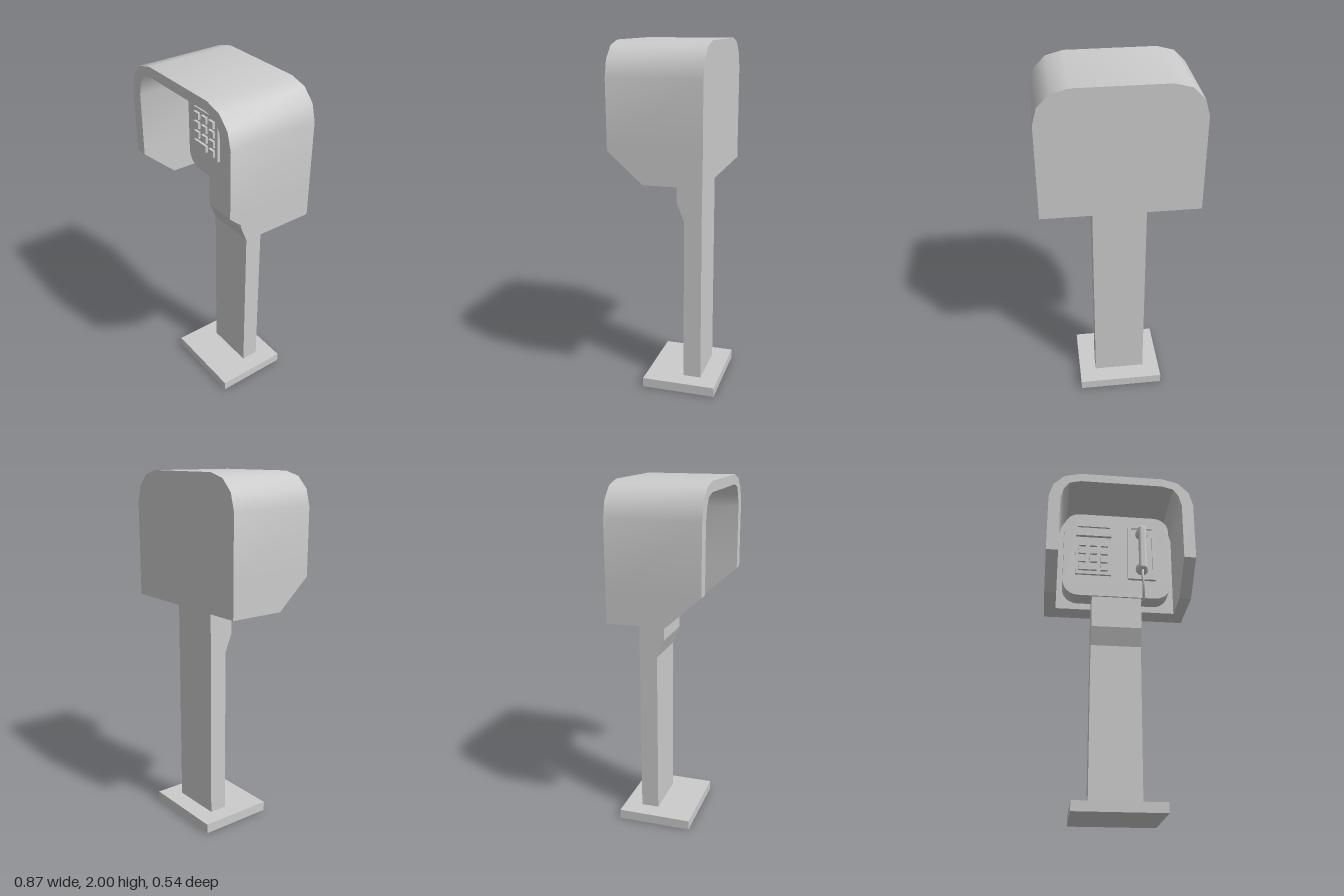
import * as THREE from 'three';
import { toCreasedNormals } from 'three/addons/utils/BufferGeometryUtils.js';
import { RoundedBoxGeometry } from 'three/addons/geometries/RoundedBoxGeometry.js';

const grey = new THREE.MeshStandardMaterial({ color: 0xcccccc });
const PANEL_Z = -0.01; // front face of the instrument panel

function add(parent, name, geometry, x = 0, y = 0, z = 0) {
  const mesh = new THREE.Mesh(geometry, grey);
  mesh.name = name;
  mesh.position.set(x, y, z);
  parent.add(mesh);
  return mesh;
}

// Box given by its limits
function block(parent, name, x0, x1, y0, y1, z0, z1) {
  return add(parent, name, new THREE.BoxGeometry(x1 - x0, y1 - y0, z1 - z0),
    (x0 + x1) / 2, (y0 + y1) / 2, (z0 + z1) / 2);
}

// Rectangular surround with a rectangular hole
function frame(parent, name, x0, x1, y0, y1, z0, z1, rim) {
  const rect = (C, m) => {
    const p = new C();
    p.moveTo(x0 + m, y0 + m);
    p.lineTo(x1 - m, y0 + m);
    p.lineTo(x1 - m, y1 - m);
    p.lineTo(x0 + m, y1 - m);
    p.closePath();
    return p;
  };
  const shape = rect(THREE.Shape, 0);
  shape.holes.push(rect(THREE.Path, rim));
  return add(parent, name,
    new THREE.ExtrudeGeometry(shape, { depth: z1 - z0, bevelEnabled: false }), 0, 0, z0);
}

// Half outline of the hood: outer x, y, inner x, y, front z
const HALF = [
  [0.435, 1.28, 0.365, 1.28, 0.08],
  [0.435, 1.45, 0.365, 1.45, 0.27],
  [0.435, 1.82, 0.365, 1.81, 0.27],
  [0.41, 1.91, 0.347, 1.88, 0.27],
  [0.345, 1.975, 0.315, 1.928, 0.27],
  [0.25, 2.0, 0.245, 1.945, 0.27],
];

// Arched shell swept through four-cornered stations
function hoodShell() {
  const stations = [...HALF, ...HALF.map(([a, b, c, d, z]) => [-a, b, -c, d, z]).reverse()];
  const pos = [], index = [];
  for (const [ox, oy, ix, iy, z] of stations) {
    pos.push(ox, oy, z, ix, iy, z, ix, iy, -0.24, ox, oy, -0.24);
  }
  for (let s = 0; s < stations.length - 1; s++) {
    for (let k = 0; k < 4; k++) {
      const a = s * 4 + k, b = s * 4 + (k + 1) % 4;
      index.push(a, a + 4, b, b, a + 4, b + 4);
    }
  }
  const e = (stations.length - 1) * 4;
  index.push(0, 1, 2, 0, 2, 3, e, e + 2, e + 1, e, e + 3, e + 2);
  const g = new THREE.BufferGeometry();
  g.setAttribute('position', new THREE.Float32BufferAttribute(pos, 3));
  g.setIndex(index);
  return toCreasedNormals(g, 0.7);
}

function buildHood(root) {
  const hood = new THREE.Group();
  hood.name = 'hood';
  root.add(hood);
  add(hood, 'hoodShell', hoodShell());

  // Back wall fills the arch
  const pts = HALF.map(h => new THREE.Vector2(h[2], h[3]));
  const outline = [...pts, ...pts.map(p => new THREE.Vector2(-p.x, p.y)).reverse()];
  add(hood, 'backWall', new THREE.ExtrudeGeometry(new THREE.Shape(outline),
    { depth: 0.12, bevelEnabled: false }), 0, 0, -0.24);

  // Raised instrument panel with rounded corners
  const w = 0.33, b = 1.32, t = 1.905, r = 0.095;
  const s = new THREE.Shape();
  s.absarc(w - r, b + r, r, -Math.PI / 2, 0);
  s.absarc(w - r, t - r, r, 0, Math.PI / 2);
  s.absarc(-w + r, t - r, r, Math.PI / 2, Math.PI);
  s.absarc(-w + r, b + r, r, Math.PI, Math.PI * 1.5);
  s.closePath();
  add(hood, 'instrumentPanel', toCreasedNormals(new THREE.ExtrudeGeometry(s,
    { depth: PANEL_Z + 0.13, bevelEnabled: false, curveSegments: 3 }), 0.7), 0, 0, -0.13);
}

function buildKeypad(root) {
  const keypad = new THREE.Group();
  keypad.name = 'keypad';
  root.add(keypad);
  const z = PANEL_Z;
  block(keypad, 'keypadPlate', -0.255, -0.035, 1.46, 1.715, z, z + 0.015);
  const key = (x, y, w) =>
    block(keypad, 'key', x - w / 2, x + w / 2, y - 0.02, y + 0.02, z + 0.01, z + 0.03);
  for (const y of [1.675, 1.618, 1.56]) {
    for (const x of [-0.216, -0.147, -0.079]) key(x, y, 0.044);
  }
  key(-0.182, 1.503, 0.112);
  key(-0.079, 1.503, 0.044);

  // Display window above the keys
  frame(keypad, 'displayFrame', -0.255, -0.035, 1.735, 1.81, z, z + 0.02, 0.009);
  block(keypad, 'display', -0.25, -0.04, 1.74, 1.805, z, z + 0.008);
}

function buildHandset(root) {
  const handset = new THREE.Group();
  handset.name = 'handset';
  root.add(handset);
  const x = 0.154, z = PANEL_Z;
  frame(handset, 'cradleFrame', 0.068, 0.24, 1.44, 1.828, z, z + 0.02, 0.02);
  block(handset, 'cradlePlate', 0.08, 0.228, 1.452, 1.816, z, z + 0.008);

  // Grip and its two round ends
  add(handset, 'grip', new RoundedBoxGeometry(0.05, 0.31, 0.036, 3, 0.016), x, 1.637, z + 0.07);
  const cup = [[0, 0], [0.034, 0], [0.039, 0.008], [0.039, 0.024], [0.03, 0.05], [0.018, 0.072], [0, 0.078]]
    .map(p => new THREE.Vector2(...p));
  const cupGeometry = toCreasedNormals(new THREE.LatheGeometry(cup, 16), 0.7);
  for (const [name, y] of [['earpiece', 1.762], ['mouthpiece', 1.508]]) {
    add(handset, name, cupGeometry, x, y, z + 0.008).rotation.x = Math.PI / 2;
  }

  // Cord hangs from the mouthpiece and loops back under the panel
  const cord = new THREE.CatmullRomCurve3([
    [0.154, 1.49, z + 0.06], [0.15, 1.44, z + 0.075], [0.156, 1.37, z + 0.07],
    [0.16, 1.315, z + 0.035], [0.16, 1.302, z - 0.01], [0.156, 1.335, z - 0.045],
  ].map(p => new THREE.Vector3(...p)));
  add(handset, 'cord', new THREE.TubeGeometry(cord, 24, 0.008, 8));
}

function buildStand(root) {
  const stand = new THREE.Group();
  stand.name = 'stand';
  root.add(stand);
  block(stand, 'basePlate', -0.25, 0.25, 0, 0.055, -0.27, 0.16);

  // Post side profile (z, y), extruded across the width
  const profile = [[-0.165, 0.05], [-0.062, 0.05], [-0.062, 1.015], [-0.02, 1.12], [-0.02, 1.33], [-0.165, 1.33]];
  const g = new THREE.ExtrudeGeometry(
    new THREE.Shape(profile.map(([z, y]) => new THREE.Vector2(-z, y))),
    { depth: 0.3, bevelEnabled: false });
  g.rotateY(Math.PI / 2);
  add(stand, 'post', g, -0.15, 0, 0);
}

export function createModel() {
  const root = new THREE.Group();
  root.name = 'payphone';
  buildStand(root);
  buildHood(root);
  buildKeypad(root);
  buildHandset(root);
  return root;
}
